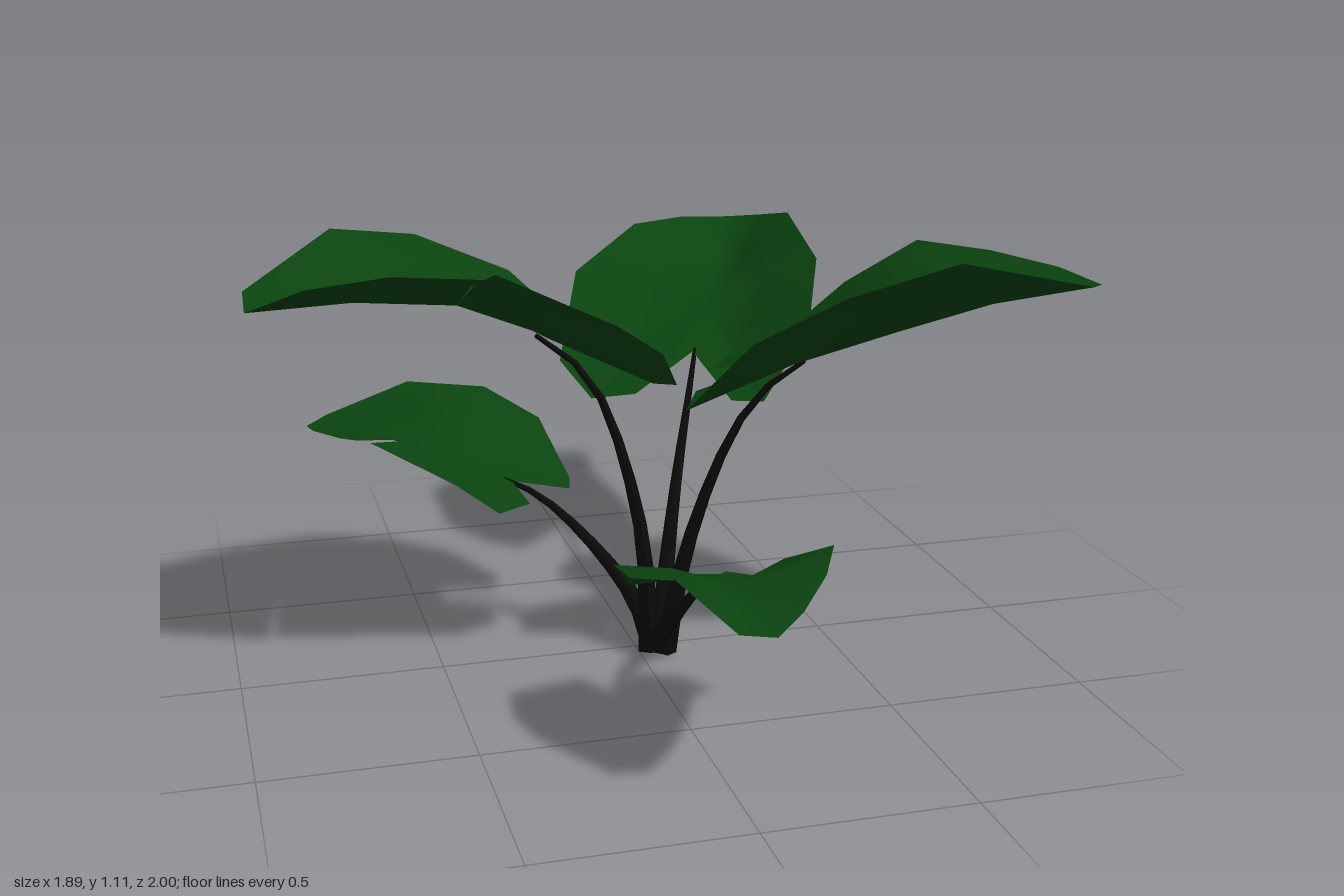
import * as THREE from 'three';

const leafMaterial = new THREE.MeshStandardMaterial({ color: 0x0b4410, side: THREE.DoubleSide });
const stemMaterial = new THREE.MeshStandardMaterial({ color: 0x0a0a0a, side: THREE.DoubleSide });

// Cupped heart-shaped blade: hub, slightly arched middle ring and rim, optionally left split
function makeLeaf({ hub, rim, split }) {
  const n = rim.length;
  const ring = rim.map((p) => p.map((c, k) => (c + hub[k]) / 2 + (k === 1 ? 0.015 : 0)));
  const geometry = new THREE.BufferGeometry();
  geometry.setAttribute('position', new THREE.Float32BufferAttribute([hub, ...ring, ...rim].flat(), 3));
  const index = [];
  for (let i = 0; i < (split ? n - 1 : n); i++) {
    const a = 1 + i, b = 1 + ((i + 1) % n);
    index.push(0, a, b, a, a + n, b + n, a, b + n, b);
  }
  geometry.setIndex(index);
  geometry.computeVertexNormals();
  return new THREE.Mesh(geometry, leafMaterial);
}

// Five-sided stem that tapers from the root to the blade
function makeStem(points, r0 = 0.032, r1 = 0.006) {
  const curve = new THREE.CatmullRomCurve3(points.map((p) => new THREE.Vector3(...p)));
  const steps = 8, sides = 5;
  const geometry = new THREE.TubeGeometry(curve, steps, r0, sides);
  const pos = geometry.attributes.position;
  const v = new THREE.Vector3();
  for (let i = 0; i <= steps; i++) {
    const centre = curve.getPointAt(i / steps);
    const scale = 1 + (r1 / r0 - 1) * Math.pow(i / steps, 0.65);
    for (let j = 0; j <= sides; j++) {
      const k = i * (sides + 1) + j;
      v.fromBufferAttribute(pos, k).sub(centre).multiplyScalar(scale).add(centre);
      pos.setXYZ(k, v.x, Math.max(v.y, 0), v.z);
    }
  }
  geometry.computeVertexNormals();
  return new THREE.Mesh(geometry, stemMaterial);
}

// Rims run counter-clockwise seen from above
const plants = {
  leftFront: {
    hub: [0.55, 0.88, 0.33],
    rim: [[0.34, 0.79, 0.21], [0.09, 0.74, 0.22], [0.03, 0.73, 0.34], [0.13, 0.92, 0.51],
      [0.3, 1.04, 0.63], [0.55, 1.11, 0.66], [0.87, 1.04, 0.66], [0.945, 1.02, 0.56],
      [0.92, 1.03, 0.4], [0.84, 1.035, 0.2], [0.73, 1.03, 0.01], [0.58, 0.91, -0.09],
      [0.43, 0.75, -0.17], [0.27, 0.73, -0.11], [0.21, 0.73, 0.0]],
    stem: [[0.06, 0.01, 0.06], [0.11, 0.3, 0.09], [0.2, 0.58, 0.13], [0.27, 0.71, 0.17], [0.36, 0.795, 0.22]],
  },
  rightFront: {
    split: true,
    hub: [-0.46, 0.96, 0.13],
    rim: [[-0.44, 1.11, 0.51], [-0.3, 1.04, 0.495], [-0.17, 0.975, 0.475], [-0.06, 0.9, 0.46],
      [0.01, 0.79, 0.33], [-0.01, 0.76, 0.2],
      [-0.24, 0.86, 0.1], [-0.05, 0.75, -0.04], [-0.07, 0.77, -0.17], [-0.26, 0.95, -0.27],
      [-0.5, 1.06, -0.24], [-0.72, 1.11, -0.1], [-0.94, 1.01, 0.08], [-0.945, 0.99, 0.21],
      [-0.82, 1.06, 0.33], [-0.65, 1.1, 0.43], [-0.46, 1.1, 0.51]],
    stem: [[0.02, 0.02, 0.06], [-0.01, 0.36, 0.08], [-0.11, 0.7, 0.095], [-0.18, 0.8, 0.1], [-0.27, 0.87, 0.1]],
  },
  leftBack: {
    hub: [0.39, 0.74, -0.65],
    rim: [[0.29, 0.65, -0.47], [0.33, 0.57, -0.24], [0.41, 0.57, -0.21], [0.55, 0.75, -0.26],
      [0.63, 0.9, -0.43], [0.64, 0.98, -0.7], [0.64, 0.93, -0.95], [0.55, 0.92, -1.0],
      [0.4, 0.93, -0.975], [0.24, 0.93, -0.9], [0.03, 0.83, -0.76], [-0.06, 0.62, -0.58],
      [0.0, 0.54, -0.46], [0.1, 0.57, -0.37]],
    stem: [[0.05, 0.02, 0.05], [0.1, 0.2, -0.06], [0.17, 0.41, -0.2], [0.22, 0.52, -0.3], [0.3, 0.655, -0.48]],
  },
  rightBack: {
    split: true,
    hub: [-0.45, 0.46, -0.36],
    rim: [[-0.64, 0.555, -0.16], [-0.45, 0.47, -0.03], [-0.35, 0.4, 0.01], [-0.25, 0.38, -0.1],
      [-0.27, 0.4, -0.23], [-0.12, 0.37, -0.22], [-0.1, 0.37, -0.3], [-0.15, 0.5, -0.45],
      [-0.28, 0.57, -0.55], [-0.48, 0.58, -0.62], [-0.7, 0.49, -0.66], [-0.76, 0.48, -0.6],
      [-0.755, 0.51, -0.45], [-0.7, 0.53, -0.3], [-0.67, 0.555, -0.19]],
    stem: [[0.03, 0.04, 0.04], [0.0, 0.13, -0.01], [-0.1, 0.27, -0.1], [-0.21, 0.37, -0.19], [-0.29, 0.405, -0.24]],
  },
  front: {
    hub: [0.04, 0.43, 0.68],
    rim: [[0.04, 0.4, 0.55], [-0.04, 0.36, 0.42], [-0.13, 0.35, 0.43], [-0.19, 0.44, 0.52],
      [-0.195, 0.47, 0.68], [-0.14, 0.52, 0.84], [-0.05, 0.45, 0.99], [0.03, 0.44, 1.0],
      [0.11, 0.46, 0.93], [0.2, 0.49, 0.82], [0.27, 0.5, 0.68], [0.285, 0.4, 0.6],
      [0.2, 0.345, 0.46], [0.1, 0.36, 0.43]],
    stem: [[0.04, 0.03, 0.06], [0.04, 0.15, 0.2], [0.04, 0.26, 0.34], [0.04, 0.34, 0.45], [0.04, 0.4, 0.56]],
  },
};

export function createModel() {
  const model = new THREE.Group();
  model.name = 'leafyPlant';
  for (const [place, part] of Object.entries(plants)) {
    const leaf = makeLeaf(part);
    leaf.name = `${place}Leaf`;
    const stem = makeStem(part.stem);
    stem.name = `${place}Stem`;
    model.add(leaf, stem);
  }
  return model;
}
